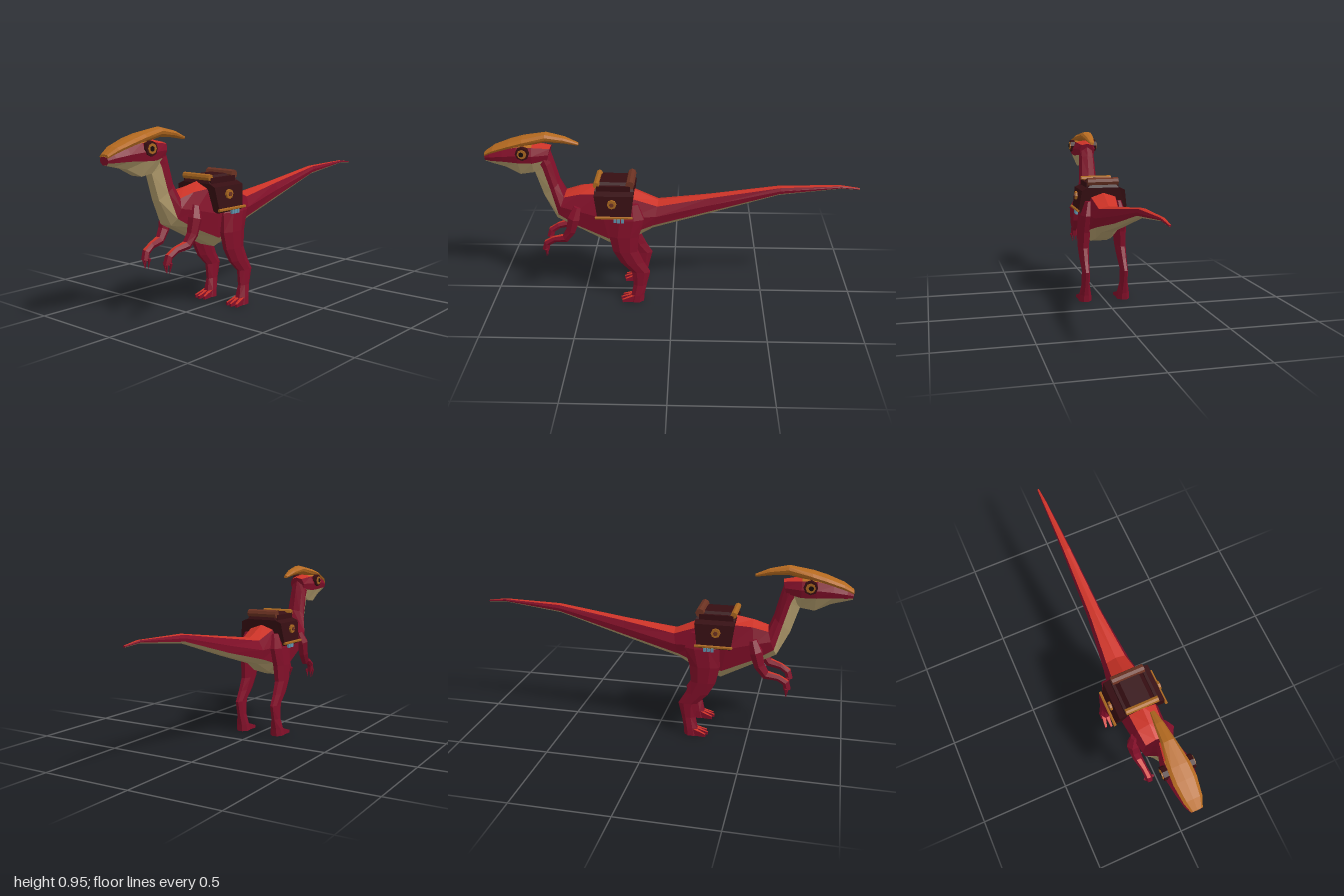
import * as THREE from 'three';

const mat = (name, color) => {
  const m = new THREE.MeshStandardMaterial({ color, flatShading: true });
  m.name = name;
  return m;
};
const M = {
  crimson: mat('crimson skin', 0x820f29),
  red: mat('red back', 0xcb3226),
  tan: mat('tan belly', 0xb29c6c),
  orange: mat('orange crest', 0xb56a20),
  leather: mat('dark leather', 0x360e12),
  wood: mat('brown roll', 0x6b3222),
  gold: mat('gold trim', 0xa8661f),
  blue: mat('blue charm', 0x5f93ad),
  black: mat('black pupil', 0x140a0a),
};
const V = (x, y, z) => new THREE.Vector3(x, y, z);

// Skin closed rings into a capped solid; pick(i, j) gives the material of each facet.
function loft(name, rings, pick) {
  const buckets = new Map();
  let volume = 0;
  const tri = (m, a, b, c) => {
    if (!buckets.has(m)) buckets.set(m, []);
    buckets.get(m).push([a, b, c]);
    volume += a.dot(b.clone().cross(c));
  };
  const n = rings[0].length;
  for (let i = 0; i < rings.length - 1; i++)
    for (let j = 0; j < n; j++) {
      const k = (j + 1) % n, p = rings[i], q = rings[i + 1], m = pick(i, j);
      tri(m, p[j], p[k], q[k]);
      tri(m, p[j], q[k], q[j]);
    }
  const first = rings[0], last = rings[rings.length - 1];
  for (let j = 1; j < n - 1; j++) {
    tri(pick(0, 2), first[0], first[j + 1], first[j]);
    tri(pick(rings.length - 2, 2), last[0], last[j], last[j + 1]);
  }
  const pos = [], mats = [], g = new THREE.BufferGeometry();
  for (const [m, tris] of buckets) {
    g.addGroup(pos.length / 3, tris.length * 3, mats.length);
    mats.push(m);
    for (const [a, b, c] of tris)
      for (const v of volume > 0 ? [a, b, c] : [a, c, b]) pos.push(v.x, v.y, v.z);
  }
  g.setAttribute('position', new THREE.Float32BufferAttribute(pos, 3));
  g.computeVertexNormals();
  const mesh = new THREE.Mesh(g, mats);
  mesh.name = name;
  return mesh;
}

// Symmetric ring from [topZ, topY, bottomZ, bottomY, halfWidth, belly line].
function bodyRing([tz, ty, bz, by, w, f]) {
  const half = [[0.72, 0.1], [1, (0.1 + f) / 2], [0.88, f], [0.45, 1]];
  const at = (x, t) => V(x * w, ty + (by - ty) * t, tz + (bz - tz) * t);
  return [at(0, 0), ...half.map(([x, t]) => at(x, t)),
    ...half.slice().reverse().map(([x, t]) => at(-x, t))];
}
const band = j => Math.min(j, 8 - j);

// Hexagonal tube along points [x, y, z, radius].
function limb(name, pts, pick) {
  const c = pts.map(p => V(p[0], p[1], p[2]));
  const rings = c.map((p, i) => {
    const t = c[Math.min(i + 1, c.length - 1)].clone().sub(c[Math.max(i - 1, 0)]);
    const n = t.cross(V(1, 0, 0)).normalize();
    return Array.from({ length: 6 }, (_, j) => {
      const a = j * Math.PI / 3, r = pts[i][3];
      return p.clone().addScaledVector(n, Math.sin(a) * r).add(V(Math.cos(a) * r, 0, 0));
    });
  });
  return loft(name, rings, pick);
}

function part(parent, name, geo, material, x, y, z, axis) {
  const m = new THREE.Mesh(geo, material);
  m.name = name;
  m.position.set(x, y, z);
  if (axis === 'x') m.rotation.z = Math.PI / 2;
  if (axis === 'z') m.rotation.x = Math.PI / 2;
  parent.add(m);
  return m;
}
const rod = (r, len, sides = 8) => new THREE.CylinderGeometry(r, r, len, sides);

export function createModel() {
  const root = new THREE.Group();
  root.name = 'saddledDinosaur';

  // Tail, torso and neck
  const body = [
    [-1, 0.65, -1, 0.641, 0.006, 0.75], [-0.9, 0.664, -0.9, 0.648, 0.012, 0.75],
    [-0.58, 0.658, -0.57, 0.61, 0.025, 0.8], [-0.2, 0.605, -0.2, 0.5, 0.042, 0.82],
    [0.08, 0.567, 0.11, 0.415, 0.076, 0.8], [0.23, 0.635, 0.21, 0.36, 0.102, 0.82],
    [0.4, 0.665, 0.34, 0.322, 0.105, 0.85], [0.5, 0.645, 0.53, 0.42, 0.094, 0.86],
    [0.58, 0.615, 0.63, 0.47, 0.08, 0.75], [0.605, 0.68, 0.695, 0.6, 0.054, 0.55],
    [0.635, 0.8, 0.735, 0.73, 0.048, 0.55], [0.655, 0.87, 0.77, 0.8, 0.045, 0.6],
  ];
  root.add(loft('body', body.map(bodyRing), (i, j) =>
    band(j) === 0 && i < 8 ? M.red : band(j) > 2 ? M.tan : M.crimson));

  // Head with tan jaw
  const head = [
    [0.645, 0.875, 0.665, 0.8, 0.045, 0.9], [0.74, 0.895, 0.74, 0.735, 0.07, 0.62],
    [0.82, 0.9, 0.81, 0.725, 0.074, 0.58], [0.9, 0.875, 0.89, 0.765, 0.062, 0.66],
    [0.97, 0.85, 0.96, 0.782, 0.046, 0.72], [1, 0.83, 0.995, 0.79, 0.028, 0.75],
  ];
  root.add(loft('head', head.map(bodyRing), (i, j) =>
    band(j) === 0 ? (i > 0 ? M.orange : M.red) : band(j) > 2 ? M.tan : M.crimson));

  // Backswept crest running up from the snout
  const crest = [
    [0.998, 0.84, 0.998, 0.815, 0.03, 0.7], [0.95, 0.872, 0.95, 0.835, 0.048, 0.7],
    [0.86, 0.905, 0.86, 0.862, 0.06, 0.7], [0.79, 0.925, 0.79, 0.878, 0.057, 0.7],
    [0.67, 0.948, 0.67, 0.9, 0.036, 0.7], [0.57, 0.925, 0.58, 0.892, 0.025, 0.7],
    [0.5, 0.893, 0.5, 0.878, 0.012, 0.7],
  ];
  root.add(loft('crest', crest.map(bodyRing), () => M.orange));

  for (const s of [1, -1]) {
    const side = new THREE.Group();
    side.name = s > 0 ? 'leftSide' : 'rightSide';
    root.add(side);

    // Eye
    part(side, 'eyeSocket', rod(0.036, 0.026), M.leather, s * 0.068, 0.855, 0.785, 'x');
    part(side, 'iris', rod(0.025, 0.008), M.gold, s * 0.082, 0.855, 0.785, 'x');
    part(side, 'pupil', rod(0.013, 0.006), M.black, s * 0.085, 0.855, 0.788, 'x');

    // Hind leg from [y, z, depth radius, x, width radius]
    const leg = [
      [0.58, 0.235, 0.05, 0.088, 0.018], [0.5, 0.245, 0.092, 0.102, 0.031],
      [0.4, 0.262, 0.08, 0.106, 0.033], [0.31, 0.257, 0.066, 0.11, 0.028],
      [0.24, 0.222, 0.062, 0.112, 0.023], [0.18, 0.174, 0.05, 0.113, 0.019],
      [0.1, 0.18, 0.036, 0.113, 0.021], [0.04, 0.193, 0.036, 0.113, 0.032],
      [0, 0.2, 0.04, 0.113, 0.036],
    ];
    side.add(loft('hindLeg', leg.map(([y, z, rz, x, rx]) =>
      Array.from({ length: 8 }, (_, j) => {
        const a = (j + 0.5) * Math.PI / 4;
        return V(s * (x + Math.cos(a) * rx * 1.08), y, z + Math.sin(a) * rz * 1.08);
      })), () => M.crimson));

    // Toes, tapered boxes with red tops
    for (const k of [-1, 0, 1]) {
      const g = new THREE.BoxGeometry(0.023, 0.042, 0.075);
      const p = g.attributes.position;
      for (let i = 0; i < p.count; i++)
        if (p.getZ(i) > 0) {
          p.setX(i, p.getX(i) * 0.5);
          if (p.getY(i) > 0) p.setY(i, -0.005);
        }
      const c = M.crimson;
      part(side, 'toe', g, [c, c, M.red, c, c, c], s * 0.113 + k * 0.025, 0.021,
        0.242 + (k ? 0 : 0.008)).rotation.y = k * 0.18;
    }

    // Arm and fingers
    side.add(limb('arm', [
      [s * 0.085, 0.56, 0.51, 0.022], [s * 0.1, 0.5, 0.53, 0.036],
      [s * 0.1, 0.425, 0.55, 0.029], [s * 0.094, 0.375, 0.585, 0.025],
      [s * 0.084, 0.36, 0.65, 0.018], [s * 0.079, 0.335, 0.69, 0.02],
      [s * 0.076, 0.295, 0.7, 0.021],
    ], (i, j) => (j === 1 && i > 2 && i < 5 ? M.red : M.crimson)));
    for (const k of [-1, 0, 1]) {
      const f = part(side, 'finger', new THREE.ConeGeometry(0.009, 0.055, 5), M.crimson,
        s * 0.075 + k * 0.017, 0.278, 0.7 - Math.abs(k) * 0.006);
      f.rotation.set(Math.PI, 0, k * 0.2);
    }

    // Saddlebag trim
    part(side, 'bagBuckle', rod(0.025, 0.012), M.gold, s * 0.138, 0.6, 0.32, 'x');
    part(side, 'bagStud', rod(0.012, 0.012, 6), M.wood, s * 0.143, 0.6, 0.32, 'x');
    part(side, 'bagRod', rod(0.008, 0.2, 6), M.gold, s * 0.148, 0.526, 0.31, 'z');
    for (const z of [0.265, 0.285, 0.305])
      part(side, 'charm', new THREE.BoxGeometry(0.012, 0.02, 0.015), M.blue, s * 0.146, 0.508, z);
  }

  // Saddle: an arch draped over the back, narrowing in z towards its hem
  const half = [[0.055, 0.692], [0.092, 0.655], [0.126, 0.64], [0.143, 0.52], [0.128, 0.508], [0.09, 0.52]];
  const arch = [...half, ...half.slice().reverse().map(([x, y]) => [-x, y])];
  const saddle = new THREE.ExtrudeGeometry(
    new THREE.Shape(arch.map(([x, y]) => new THREE.Vector2(x, y))), { depth: 0.21, bevelEnabled: false });
  const sp = saddle.attributes.position;
  for (let i = 0; i < sp.count; i++) {
    const y = sp.getY(i), k = y < 0.6 ? 0.84 : y > 0.67 ? 0.8 : 1;
    sp.setZ(i, (sp.getZ(i) - 0.105) * k);
  }
  saddle.computeVertexNormals();
  part(root, 'saddle', saddle, M.leather, 0, 0, 0.31);
  part(root, 'frontRoll', rod(0.017, 0.18), M.gold, 0, 0.686, 0.405, 'x');
  part(root, 'rearRoll', rod(0.023, 0.18), M.wood, 0, 0.688, 0.226, 'x');
  for (const s of [1, -1])
    part(root, 'rollStrap', new THREE.BoxGeometry(0.015, 0.03, 0.18), M.leather, s * 0.086, 0.668, 0.315);

  return root;
}
